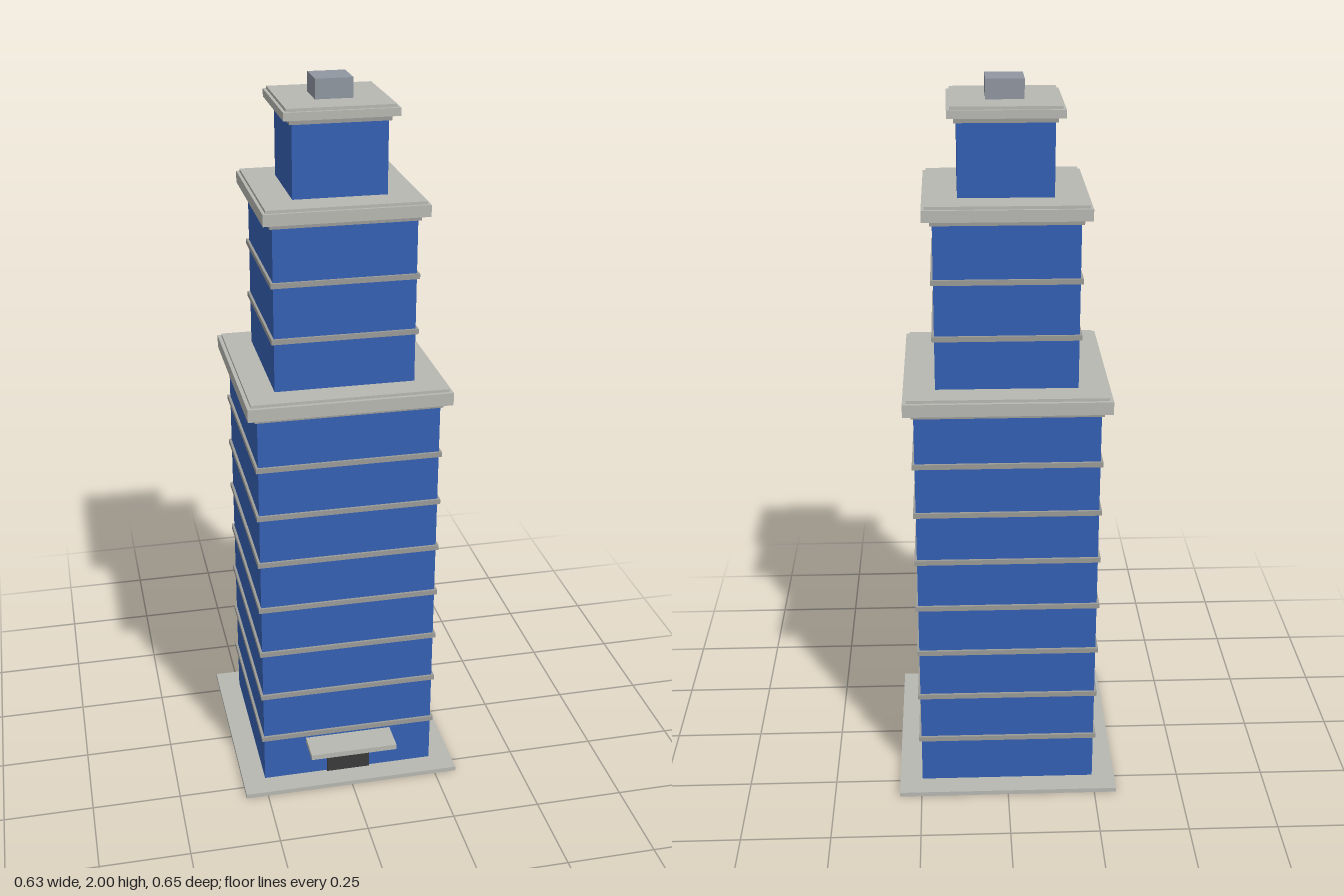
import * as THREE from 'three';

export function createModel() {
  const model = new THREE.Group();
  model.name = 'steppedTower';

  const paint = (name, color) => {
    const m = new THREE.MeshStandardMaterial({ color });
    m.name = name;
    return m;
  };
  const glass = paint('blueGlass', 0x3560b4);
  const stone = paint('paleStone', 0xb8b8b3);
  const trim = paint('greyTrim', 0x9b9b98);
  const metal = paint('roofMetal', 0x9097a1);
  const dark = paint('darkDoor', 0x3a3a3a);

  const AXIS_Z = -0.012; // tower axis sits slightly back because of the canopy

  // Box given by half width, bottom and top, centred on the tower axis
  function block(name, half, y0, y1, material, parent = model) {
    const mesh = new THREE.Mesh(new THREE.BoxGeometry(half * 2, y1 - y0, half * 2), material);
    mesh.position.set(0, (y0 + y1) / 2, AXIS_Z);
    mesh.name = name;
    parent.add(mesh);
    return mesh;
  }

  block('basePlate', 0.313, 0, 0.013, stone);

  // Tiers: glass shaft, floor bands, overhanging ledge and its thin cap
  const tiers = [
    { name: 'lowerTier', half: 0.248, y0: 0.013, ledge: 1.172, top: 1.215, over: 0.276, inset: 0.01, bands: [0.155, 0.299, 0.443, 0.587, 0.731, 0.875, 1.019, 1.165] },
    { name: 'middleTier', half: 0.19, y0: 1.215, ledge: 1.674, top: 1.713, over: 0.217, inset: 0.008, bands: [1.357, 1.51, 1.667] },
    { name: 'upperTier', half: 0.125, y0: 1.713, ledge: 1.919, top: 1.948, over: 0.15, inset: 0.008, bands: [1.912] },
  ];
  for (const t of tiers) {
    const tier = new THREE.Group();
    tier.name = t.name;
    model.add(tier);
    block('glassShaft', t.half, t.y0, t.ledge, glass, tier);
    for (const y of t.bands) block('floorBand', t.half + 0.007, y - 0.007, y + 0.007, trim, tier);
    block('ledge', t.over, t.ledge, t.top - 0.008, stone, tier);
    block('ledgeCap', t.over - t.inset, t.top - 0.008, t.top, stone, tier);
  }

  block('roofBox', 0.05, 1.948, 2, metal);

  // Entrance on the front face
  const door = new THREE.Mesh(new THREE.BoxGeometry(0.126, 0.108, 0.008), dark);
  door.position.set(0, 0.067, 0.238);
  door.name = 'door';
  const canopy = new THREE.Mesh(new THREE.BoxGeometry(0.25, 0.016, 0.088), stone);
  canopy.position.set(0, 0.13, 0.278);
  canopy.name = 'canopy';
  model.add(door, canopy);

  return model;
}
